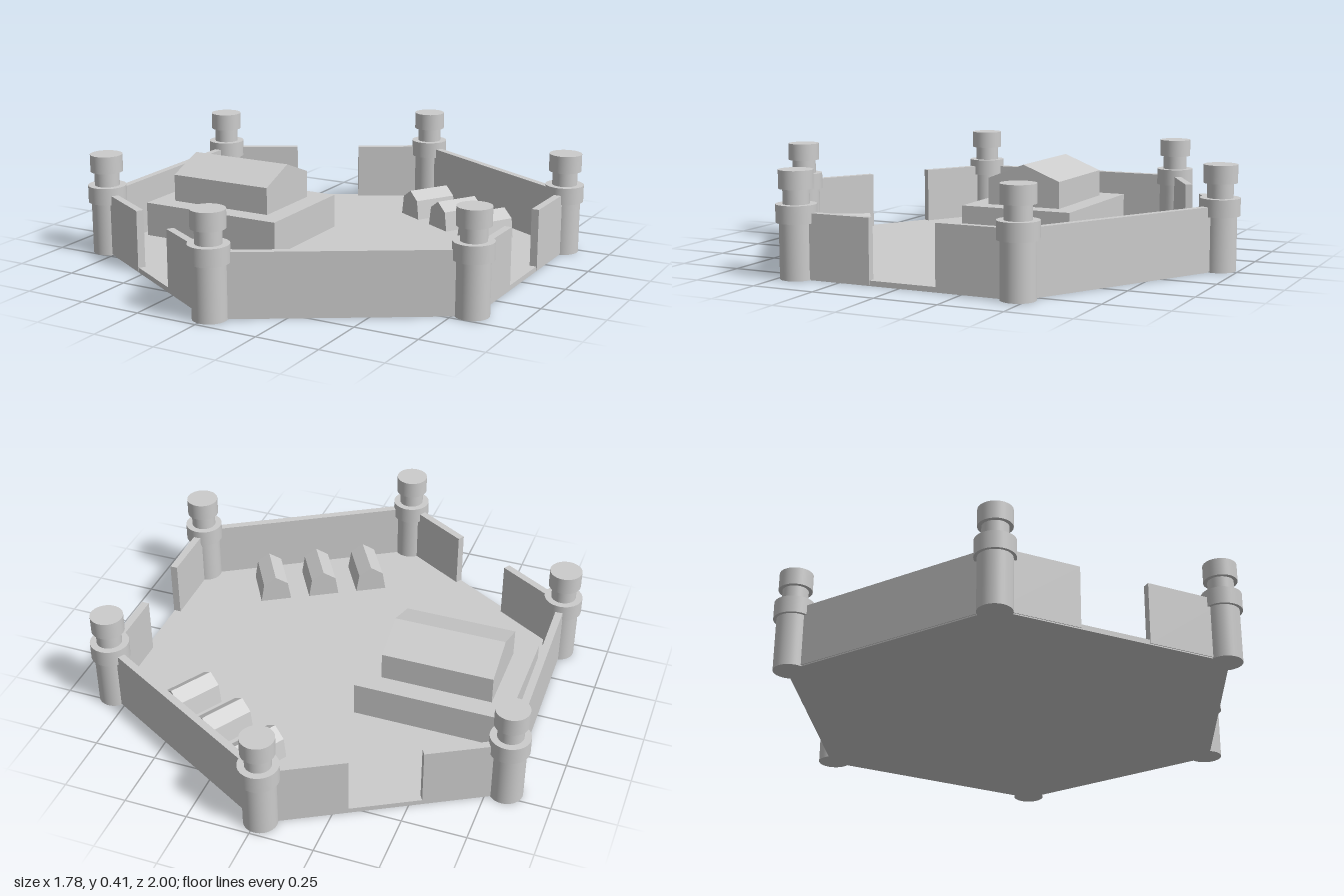
import * as THREE from 'three';

const material = new THREE.MeshStandardMaterial({ color: 0xcccccc });
const FLOOR = 0.02, WALL_H = 0.25, WALL_T = 0.03;

// Tower centres [x, z], going round the hexagon
const CORNERS = [[-0.015, -0.925], [0.81, -0.465], [0.81, 0.435], [0.01, 0.92], [-0.8, 0.44], [-0.82, -0.47]];

function mesh(name, geometry, x = 0, y = 0, z = 0) {
  const m = new THREE.Mesh(geometry, material);
  m.name = name;
  m.position.set(x, y, z);
  return m;
}

// Prism with its outline in x, y and its length centred along z
function prism(points, length) {
  const shape = new THREE.Shape(points.map(([x, y]) => new THREE.Vector2(x, y)));
  return new THREE.ExtrudeGeometry(shape, { depth: length, bevelEnabled: false }).translate(0, 0, -length / 2);
}

// Tower as stacked drums: [radius, bottom, top]
function tower(x, z) {
  const g = new THREE.Group();
  g.name = 'tower';
  g.position.set(x, 0, z);
  const drums = { shaft: [0.065, 0, 0.22], collar: [0.077, 0.212, 0.28], neck: [0.05, 0.27, 0.345], cap: [0.065, 0.337, 0.407] };
  for (const [name, [r, y0, y1]] of Object.entries(drums)) {
    g.add(mesh(name, new THREE.CylinderGeometry(r, r, y1 - y0, 40), 0, (y0 + y1) / 2, 0));
  }
  return g;
}

// Straight wall covering fractions t0..t1 of the line from a to b
function wall(a, b, t0, t1) {
  const dx = b[0] - a[0], dz = b[1] - a[1], t = (t0 + t1) / 2;
  const geometry = new THREE.BoxGeometry(Math.hypot(dx, dz) * (t1 - t0), WALL_H - 0.005, WALL_T);
  const m = mesh('wall', geometry, a[0] + dx * t, (WALL_H + 0.005) / 2, a[1] + dz * t);
  m.rotation.y = -Math.atan2(dz, dx);
  return m;
}

export function createModel() {
  const model = new THREE.Group();
  model.name = 'fort';

  // Hexagonal floor, slightly wider than the tower ring
  const outline = CORNERS.map(([x, z]) => [x * 1.015, -z * 1.015]).reverse();
  model.add(mesh('floor', prism(outline, FLOOR).rotateX(-Math.PI / 2), 0, FLOOR / 2, 0));

  // Towers and walls; every second wall has a gate opening
  CORNERS.forEach((a, i) => {
    const b = CORNERS[(i + 1) % 6];
    model.add(tower(...a));
    if (i % 2) model.add(wall(a, b, 0, 0.35), wall(a, b, 0.65, 1));
    else model.add(wall(a, b, 0, 1));
  });

  // Main hall: plinth and gabled house with its ridge along x
  const hall = new THREE.Group();
  hall.name = 'hall';
  hall.position.set(-0.448, 0, -0.01);
  hall.add(mesh('plinth', new THREE.BoxGeometry(0.62, 0.15, 0.49), 0, 0.085, 0));
  const house = [[-0.162, 0.15], [0.162, 0.15], [0.162, 0.272], [0, 0.336], [-0.162, 0.272]];
  hall.add(mesh('house', prism(house, 0.45).rotateY(Math.PI / 2)));
  model.add(hall);

  // Two rows of three tents facing away from the solid walls
  const tentOutline = [[-0.066, 0.015], [0.066, 0.015], [0.052, 0.1], [0, 0.135], [-0.052, 0.1]];
  const tentGeometry = prism(tentOutline, 0.19);
  for (const side of [-1, 1]) {
    for (let i = 0; i < 3; i++) {
      const tent = mesh('tent', tentGeometry, 0.122 + i * 0.182, 0, side * (0.638 - i * 0.106));
      tent.rotation.y = Math.atan2(0.51, side * 0.86);
      model.add(tent);
    }
  }
  return model;
}
